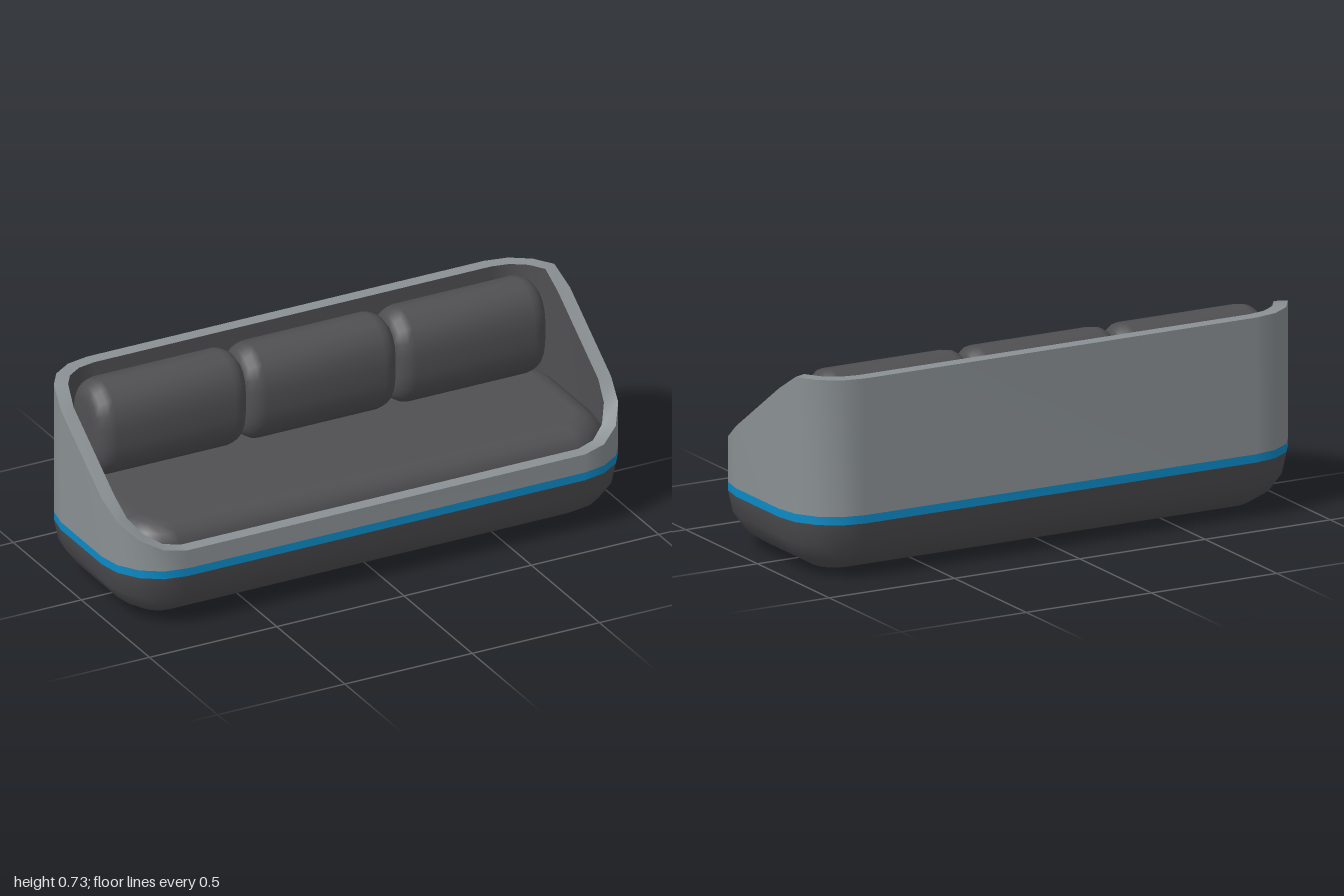
import * as THREE from 'three';
import { mergeVertices } from 'three/addons/utils/BufferGeometryUtils.js';

const STEPS = 4; // segments per rounded corner

// Rounded rectangle outline in x/z; height may be a number or a function of the point index
function ring(hx, hz, rx, rz, inset, y) {
  const pts = [];
  const signs = [[1, 1], [-1, 1], [-1, -1], [1, -1]];
  signs.forEach(([sx, sz], q) => {
    for (let i = 0; i <= STEPS; i++) {
      const a = (q + i / STEPS) * Math.PI / 2;
      const x = sx * (hx - rx) + Math.cos(a) * Math.max(rx - inset, 0);
      const z = sz * (hz - rz) + Math.sin(a) * Math.max(rz - inset, 0);
      pts.push([x, typeof y === 'function' ? y(pts.length) : y, z]);
    }
  });
  return pts;
}

const point = (y) => Array.from({ length: 4 * (STEPS + 1) }, () => [0, y, 0]);

// Skin a stack of outlines with smooth normals
function loft(rings) {
  const n = rings[0].length, index = [];
  for (let r = 0; r < rings.length - 1; r++) {
    for (let j = 0; j < n; j++) {
      const a = r * n + j, b = r * n + (j + 1) % n;
      index.push(a, a + n, b + n, a, b + n, b);
    }
  }
  const geo = new THREE.BufferGeometry();
  geo.setAttribute('position', new THREE.Float32BufferAttribute(rings.flat(2), 3));
  geo.setIndex(index);
  const merged = mergeVertices(geo, 1e-5);
  merged.computeVertexNormals();
  return merged;
}

export function createModel() {
  const group = new THREE.Group();
  group.name = 'sofa';
  const material = (name, color) => {
    const m = new THREE.MeshStandardMaterial({ color });
    m.name = name;
    return m;
  };
  const dark = material('dark upholstery', 0x504f52);
  const grey = material('grey shell', 0x8a9093);
  const blue = material('blue trim', 0x0b8ac6);
  const add = (name, geo, mat) => {
    const mesh = new THREE.Mesh(geo, mat);
    mesh.name = name;
    group.add(mesh);
    return mesh;
  };

  const R = 0.22, WALL = 0.05, HX = 1, HZ = 0.37;
  const body = (inset, y) => ring(HX, HZ, R, R, inset, y);

  // Rounded underside
  const under = [point(0)];
  for (let i = 0; i <= 4; i++) {
    const a = i / 4 * Math.PI / 2;
    under.push(body(R * (1 - Math.sin(a)), 0.205 * (1 - Math.cos(a))));
  }
  add('base', loft(under), dark);

  // Coloured band around the body
  add('trimBand', loft([body(0, 0.205), body(0, 0.235)]), blue);

  // Shell whose top edge slopes from the low front to the high back
  const outline = body(0, 0);
  const rimY = (i) => Math.min(0.727, 0.305 + (HZ - outline[i][2]) * 0.699);
  add('shellOutside', loft([body(0, 0.235), body(0, rimY)]), grey);
  add('shellRim', loft([body(0, rimY), body(WALL, rimY)]), grey);
  add('shellLining', loft([body(WALL, rimY), body(WALL, 0.25)]), dark);

  // Seat with a softly rounded edge
  const seat = [body(WALL, 0.25)];
  for (let i = 0; i <= 4; i++) {
    const a = i / 4 * Math.PI / 2;
    seat.push(body(WALL + 0.1 * (1 - Math.cos(a)), 0.27 + 0.1 * Math.sin(a)));
  }
  seat.push(point(0.37));
  add('seat', loft(seat), dark);

  // Back cushions: pillow outline swept along x with rounded ends
  const HALF = 0.298, END = 0.065;
  const pillow = (inset, y) => ring(0.176, 0.125, 0.14, 0.115, inset, y);
  const sections = [point(-HALF)];
  for (const side of [-1, 1]) {
    for (let i = 0; i <= 4; i++) {
      const a = (side < 0 ? i : 4 - i) / 4 * Math.PI / 2;
      sections.push(pillow(END * (1 - Math.sin(a)), side * (HALF - END + END * Math.cos(a))));
    }
  }
  sections.push(point(HALF));
  const cushion = loft(sections).rotateZ(-Math.PI / 2);
  ['Right', 'Middle', 'Left'].forEach((label, i) => {
    add('backCushion' + label, cushion, dark).position.set((i - 1) * 0.588, 0.549, -0.195);
  });

  return group;
}
